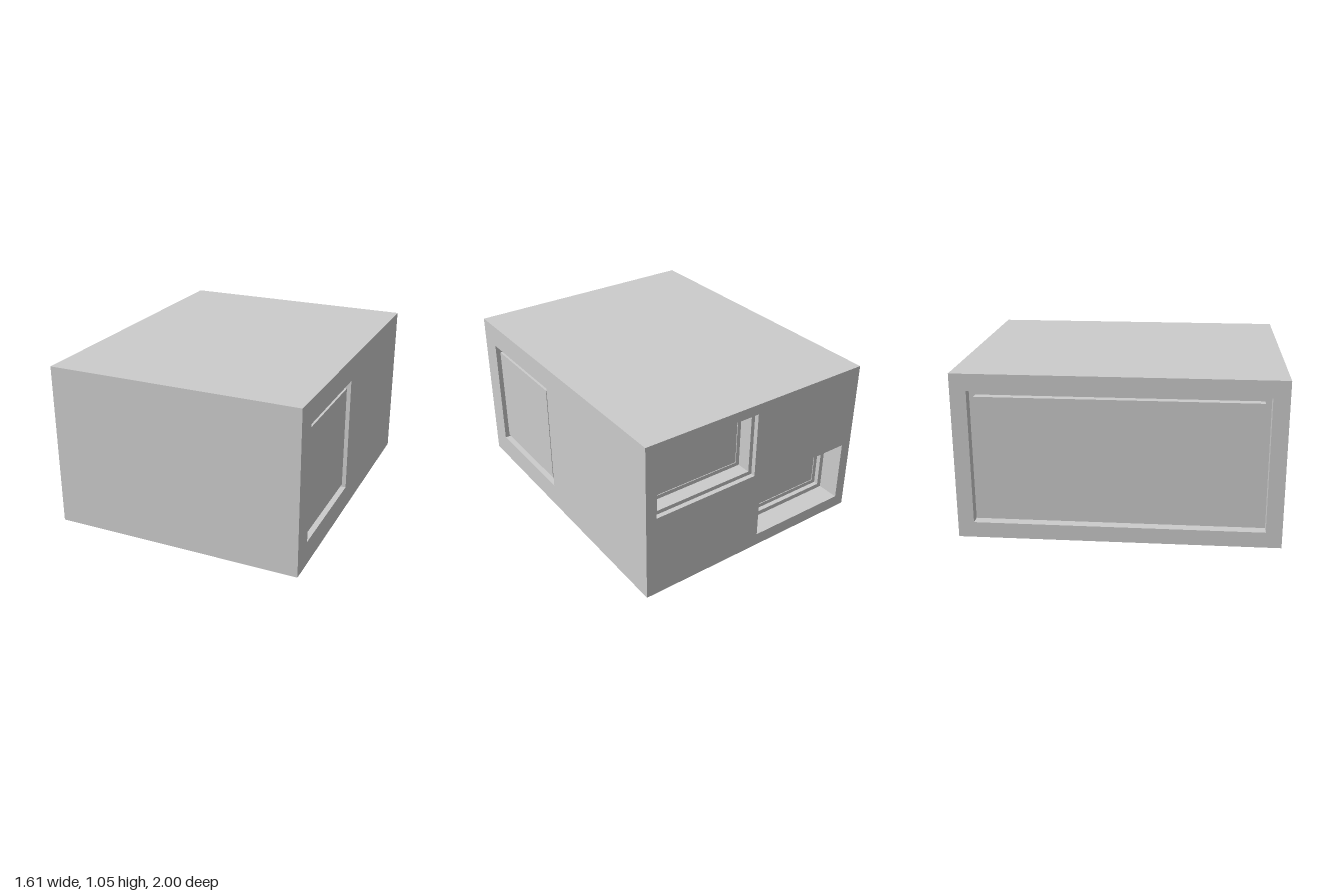
import * as THREE from 'three';
import { mergeGeometries } from 'three/addons/utils/BufferGeometryUtils.js';

const W = 0.806, H = 1.055, D = 1; // half width, height, half depth
const material = new THREE.MeshStandardMaterial({ color: 0xcccccc, flatShading: true });

// corners of a rectangle [x0, y0, x1, y1], counter-clockwise
const corners = ([x0, y0, x1, y1]) =>
  [[x0, y0], [x1, y0], [x1, y1], [x0, y1]].map(([x, y]) => new THREE.Vector2(x, y));
const shrink = ([x0, y0, x1, y1], d) => [x0 + d, y0 + d, x1 - d, y1 - d];

// flat face at depth z with rectangular holes
function face(rect, holes, z) {
  const shape = new THREE.Shape(corners(rect));
  for (const h of holes) shape.holes.push(new THREE.Path(corners(h).reverse()));
  return new THREE.ShapeGeometry(shape).translate(0, 0, z).toNonIndexed();
}

// four sides joining a rectangle at depth z0 to the same one at z1
function sides(rect, z0, z1) {
  const c = corners(rect), pos = [];
  c.forEach((a, i) => {
    const b = c[(i + 1) % 4];
    pos.push(a.x, a.y, z0, b.x, b.y, z0, b.x, b.y, z1);
    pos.push(a.x, a.y, z0, b.x, b.y, z1, a.x, a.y, z1);
  });
  const g = new THREE.BufferGeometry();
  g.setAttribute('position', new THREE.Float32BufferAttribute(pos, 3));
  g.setAttribute('uv', new THREE.Float32BufferAttribute(new Float32Array(pos.length / 3 * 2), 2));
  g.computeVertexNormals();
  return g;
}

// stepped window: each step goes in by a depth (negative: back out), then narrows by an inset
function windowRecess({ rect, steps }) {
  const parts = [];
  let z = 0;
  for (const [depth, inset] of steps) {
    parts.push(sides(rect, z, z - depth));
    z -= depth;
    if (inset) {
      const inner = shrink(rect, inset);
      parts.push(face(rect, [inner], z));
      rect = inner;
    }
  }
  parts.push(face(rect, [], z));
  return mergeGeometries(parts);
}

function addWall(group, name, halfWidth, distance, angle, windows) {
  const wall = new THREE.Group();
  wall.name = name;
  const add = (geometry, partName) => {
    const mesh = new THREE.Mesh(geometry, material);
    mesh.name = partName;
    wall.add(mesh);
  };
  add(face([-halfWidth, 0, halfWidth, H], windows.map(w => w.rect), 0), name + 'Panel');
  windows.forEach(w => add(windowRecess(w), w.name));
  wall.rotation.y = angle;
  wall.position.set(Math.sin(angle) * distance, 0, Math.cos(angle) * distance);
  group.add(wall);
}

export function createModel() {
  const group = new THREE.Group();
  group.name = 'house';

  // raised pane surrounded by a narrow groove
  const grooved = [[0.065, 0.039], [-0.05, 0]];

  addWall(group, 'frontWall', W, D, 0, []);
  addWall(group, 'leftWall', D, W, Math.PI / 2, [
    { name: 'squareWindow', rect: [-0.85, 0.155, -0.11, 0.905], steps: grooved },
  ]);
  addWall(group, 'rightWall', D, W, -Math.PI / 2, [
    { name: 'wideWindow', rect: [-0.9, 0.1, 0.9, 0.95], steps: grooved },
  ]);
  addWall(group, 'backWall', W, D, Math.PI, [
    { name: 'upperWindow', rect: [-0.737, 0.556, -0.017, 0.989],
      steps: [[0.03, 0.025], [0.09, 0.025], [0.005, 0]] },
    { name: 'lowerWindow', rect: [0.037, 0.083, 0.735, 0.495],
      steps: [[0.145, 0.03], [0.03, 0.027], [0.005, 0]] },
  ]);

  // roof and floor
  for (const [name, y, angle] of [['roof', H, -Math.PI / 2], ['floor', 0, Math.PI / 2]]) {
    const slab = new THREE.Mesh(new THREE.PlaneGeometry(2 * W, 2 * D), material);
    slab.name = name;
    slab.rotation.x = angle;
    slab.position.y = y;
    group.add(slab);
  }
  return group;
}
